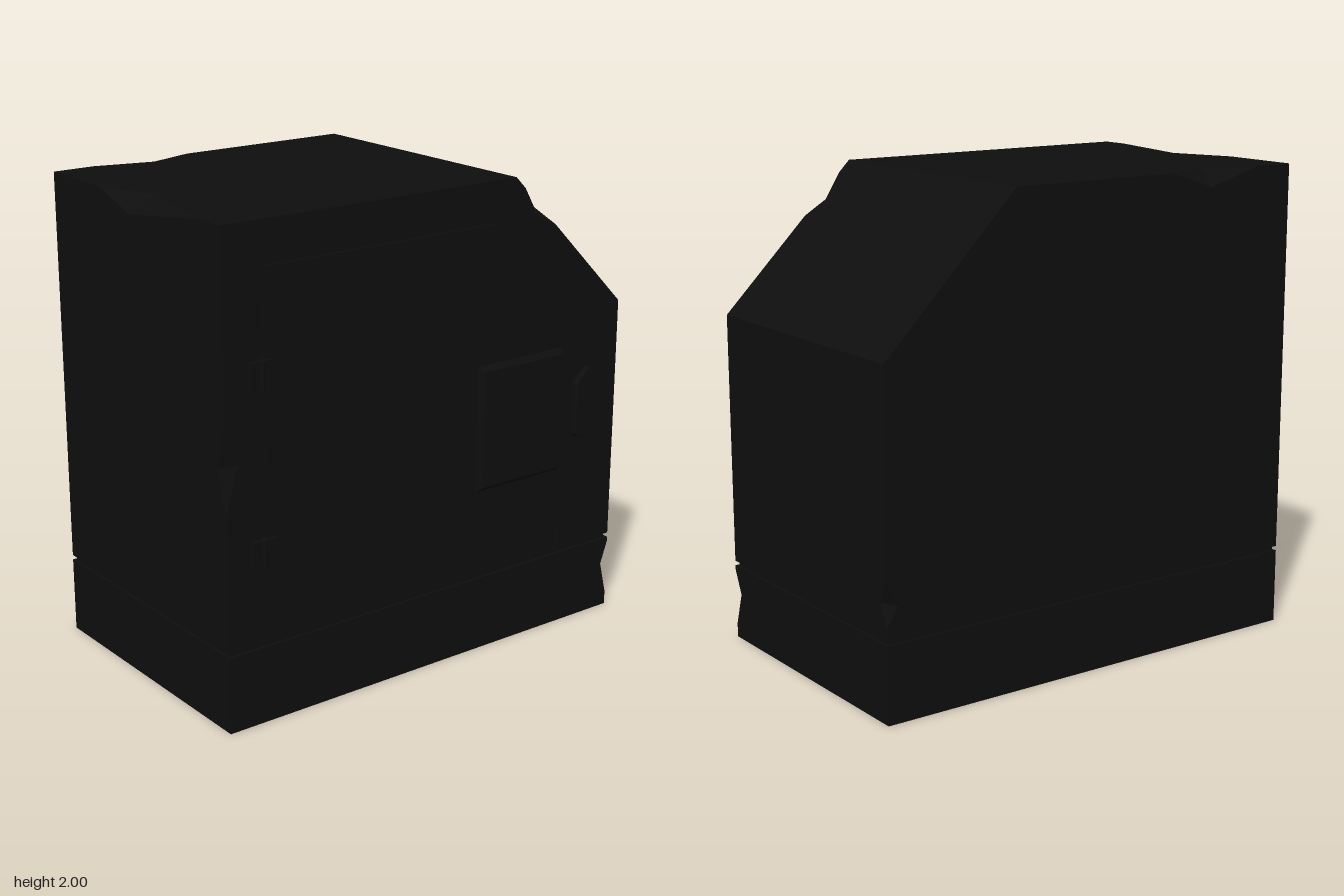
import * as THREE from 'three';

const FRONT = 0.585, BACK = -0.615;
const V = (x, y, z) => new THREE.Vector3(x, y, z);

// A chip is a notch on an edge: a and b on the edge, p and q on the two faces beside it
const chip = (a, b, p, q) => ({ a: V(...a), b: V(...b), p: V(...p), q: V(...q) });

function onSegment(pt, a, b) {
  return Math.abs(pt.distanceTo(a) + pt.distanceTo(b) - a.distanceTo(b)) < 1e-5;
}

// Adds a flat polygon to the vertex list, with chips cut from its outline and optional holes
function addFace(out, corners, chips, holes = []) {
  const n = V(0, 0, 0);
  corners.forEach((c, i) => n.add(c.clone().cross(corners[(i + 1) % corners.length])));
  n.normalize();
  const u = corners[1].clone().sub(corners[0]).normalize();
  const v = n.clone().cross(u);
  const outline = [];
  corners.forEach((c, i) => {
    const d = corners[(i + 1) % corners.length];
    outline.push(c);
    for (const k of chips) {
      if (!onSegment(k.a, c, d) || !onSegment(k.b, c, d)) continue;
      const inner = Math.abs(k.p.clone().sub(c).dot(n)) < 1e-5 ? k.p : k.q;
      const ends = k.a.distanceTo(c) < k.b.distanceTo(c) ? [k.a, k.b] : [k.b, k.a];
      outline.push(ends[0], inner, ends[1]);
    }
  });
  const flat = (pts) => pts.map((p) => new THREE.Vector2(p.dot(u), p.dot(v)));
  const all = [outline, ...holes].flat();
  for (const [i, j, k] of THREE.ShapeUtils.triangulateShape(flat(outline), holes.map(flat))) {
    addTriangle(out, all[i], all[j], all[k], n);
  }
}

// Adds a triangle whose front looks along the given direction
function addTriangle(out, a, b, c, dir) {
  const n = b.clone().sub(a).cross(c.clone().sub(a));
  const order = n.dot(dir) >= 0 ? [a, b, c] : [a, c, b];
  order.forEach((p) => out.push(p.x, p.y, p.z));
}

// Upright prism from a front profile, with chipped edges and holes in the front face
function chippedPrism(profile, chips, holes = []) {
  const out = [];
  const at = (pts, z) => pts.map(([x, y]) => V(x, y, z));
  const f = at(profile, FRONT), b = at(profile, BACK);
  addFace(out, f, chips, holes.map((h) => at(h, FRONT)));
  addFace(out, [...b].reverse(), chips);
  f.forEach((p, i) => {
    const j = (i + 1) % f.length;
    addFace(out, [p, b[i], b[j], f[j]], chips);
  });
  for (const { a, b: e, p, q } of chips) {
    const dir = a.clone().add(e).sub(p).sub(q);
    addTriangle(out, a, p, q, dir);
    addTriangle(out, e, p, q, dir);
  }
  const g = new THREE.BufferGeometry();
  g.setAttribute('position', new THREE.Float32BufferAttribute(out, 3));
  g.computeVertexNormals();
  return g;
}

export function createModel() {
  const model = new THREE.Group();
  model.name = 'chamferedCabinet';
  const black = new THREE.MeshStandardMaterial({ color: 0x0e0e0e });
  black.name = 'near black';

  const add = (name, geometry, x = 0, y = 0, z = 0) => {
    const mesh = new THREE.Mesh(geometry, black);
    mesh.name = name;
    mesh.position.set(x, y, z);
    model.add(mesh);
  };
  const box = (name, x0, x1, y0, y1, z0, z1) =>
    add(name, new THREE.BoxGeometry(x1 - x0, y1 - y0, z1 - z0), (x0 + x1) / 2, (y0 + y1) / 2, (z0 + z1) / 2);
  // Plate drawn from the front; the bevel slopes inward from the given outline
  const plate = (name, pts, z0, z1, bevel = 0) => {
    const shape = new THREE.Shape(pts.map(([x, y]) => new THREE.Vector2(x, y)));
    const geometry = new THREE.ExtrudeGeometry(shape, {
      depth: z1 - z0 - bevel, bevelEnabled: bevel > 0, bevelThickness: bevel,
      bevelSize: bevel, bevelOffset: -bevel, bevelSegments: 1,
    });
    add(name, geometry, 0, 0, z0);
  };

  // Upper body with sloped corner, door opening and chipped edges
  const opening = [[-0.84, 0.346], [0.828, 0.346], [0.828, 1.335], [0.325, 1.838], [-0.84, 1.838]];
  add('upperBody', chippedPrism(
    [[-1, 0.34], [1, 0.34], [1, 1.4], [0.4, 2], [-1, 2]],
    [
      chip([-1, 2, -0.26], [-1, 2, 0.46], [-0.9, 2, 0], [-1, 1.93, -0.04]),
      chip([-0.82, 2, BACK], [-0.37, 2, BACK], [-0.57, 2, -0.55], [-0.57, 1.93, BACK]),
      chip([-1, 1.27, FRONT], [-1, 0.9, FRONT], [-0.945, 1.09, FRONT], [-1, 1.07, 0.53]),
      chip([1, 0.57, BACK], [1, 0.39, BACK], [0.95, 0.47, BACK], [1, 0.48, -0.57]),
      chip([0.45, 1.95, FRONT], [0.62, 1.78, FRONT], [0.5, 1.84, FRONT], [0.55, 1.85, 0.53]),
    ],
    [opening],
  ));

  // Plinth and the seam above it
  add('plinth', chippedPrism(
    [[-1, 0], [1, 0], [1, 0.32], [-1, 0.32]],
    [chip([1, 0.3, FRONT], [1, 0.06, FRONT], [0.965, 0.2, FRONT], [1, 0.2, 0.54])],
  ));
  box('seam', -0.988, 0.988, 0.3, 0.36, BACK + 0.012, FRONT - 0.012);

  // Door groove floor and the two leaves; the right one is cut away over a low step
  plate('doorRecess', [[-0.87, 0.34], [0.86, 0.34], [0.86, 1.35], [0.34, 1.87], [-0.87, 1.87]], 0.55, 0.573);
  plate('narrowDoorLeaf', [[-0.818, 0.346], [-0.21, 0.346], [-0.21, 1.825], [-0.818, 1.825]], 0.56, FRONT);
  plate('wideDoorLeaf', [
    [-0.195, 0.346], [-0.115, 0.346], [-0.04, 0.438], [0.695, 0.438], [0.695, 0.346],
    [0.812, 0.346], [0.812, 1.325], [0.315, 1.825], [-0.195, 1.825],
  ], 0.56, FRONT);
  box('doorStrip', -0.215, -0.19, 0.346, 1.82, 0.56, FRONT + 0.004);

  // Raised hatch with a shallow inner panel
  plate('hatch', [[0.22, 0.71], [0.68, 0.71], [0.68, 1.25], [0.22, 1.25]], 0.57, 0.608, 0.022);

  // Handle with chamfered outer corners and a row of ribs
  plate('handle', [
    [0.77, 0.84], [0.82, 0.84], [0.82, 1.145], [0.77, 1.1], [0.752, 1.08], [0.752, 0.86],
  ], 0.57, 0.611, 0.004);
  for (let i = 0; i < 5; i++) {
    const y = 0.89 + i * 0.045;
    box('handleRib', 0.782, 0.808, y, y + 0.025, 0.6, 0.615);
  }

  // Hinges: leaf plate and knuckle
  for (const y of [0.71, 1.415]) {
    box('hingePlate', -0.893, -0.78, y - 0.06, y + 0.06, 0.57, 0.6);
    add('hingeKnuckle', new THREE.CylinderGeometry(0.013, 0.013, 0.118, 8), -0.837, y, 0.596);
  }

  return model;
}
